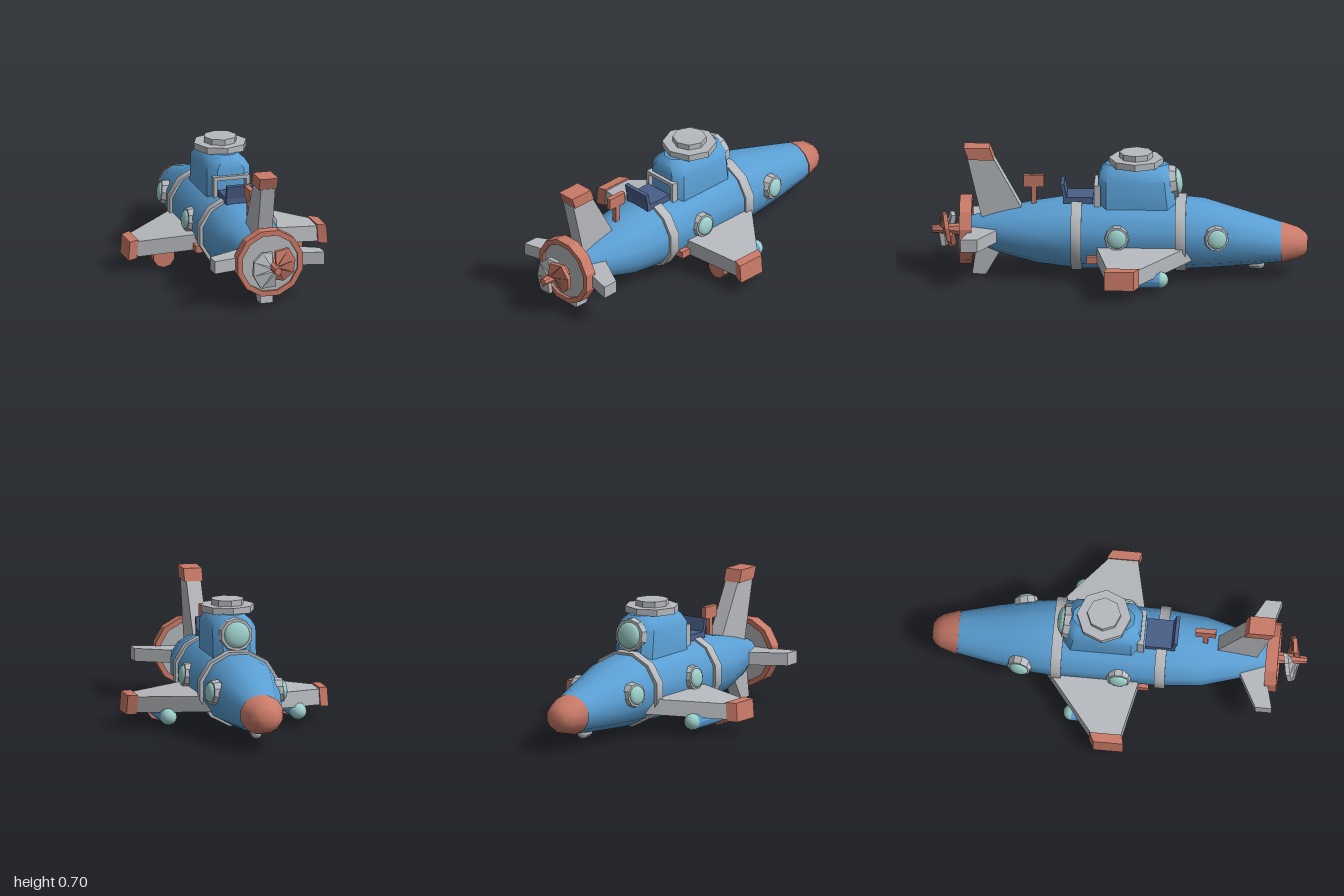
import * as THREE from 'three';
import { toCreasedNormals } from 'three/addons/utils/BufferGeometryUtils.js';

const mat = (name, color, side = THREE.FrontSide) => {
  const m = new THREE.MeshStandardMaterial({ color, side });
  m.name = name;
  return m;
};

// Closed solid through a list of convex rings with equal point counts
function loft(rings, crease = 0.6) {
  const n = rings[0].length, pos = rings.flat(2), idx = [];
  for (let r = 0; r < rings.length - 1; r++)
    for (let i = 0; i < n; i++) {
      const a = r * n + i, b = r * n + (i + 1) % n;
      idx.push(a, b, b + n, a, b + n, a + n);
    }
  const last = (rings.length - 1) * n;
  for (let i = 1; i < n - 1; i++) idx.push(0, i + 1, i, last, last + i, last + i + 1);
  // turn all faces outward by the sign of the enclosed volume
  const v = i => new THREE.Vector3().fromArray(pos, i * 3);
  let vol = 0;
  for (let i = 0; i < idx.length; i += 3) vol += v(idx[i]).dot(v(idx[i + 1]).cross(v(idx[i + 2])));
  if (vol < 0) idx.reverse();
  const g = new THREE.BufferGeometry();
  g.setAttribute('position', new THREE.Float32BufferAttribute(pos, 3));
  g.setIndex(idx);
  return toCreasedNormals(g, crease);
}

// Twelve-sided upright section, flat at top and bottom; rx, ry reach to the flats
const section = (z, cy, rx, ry) => Array.from({ length: 12 }, (_, i) => {
  const a = (i + 0.5) * Math.PI / 6, k = 1 / Math.cos(Math.PI / 12);
  return [rx * k * Math.cos(a), cy + ry * k * Math.sin(a), z];
});

// Rectangle with cut corners at height y
const plan = (y, x, z0, z1, c) => [
  [x, y, z0 + c], [x, y, z1 - c], [x - c, y, z1], [c - x, y, z1],
  [-x, y, z1 - c], [-x, y, z0 + c], [c - x, y, z0], [x - c, y, z0]];

export function createModel() {
  const root = new THREE.Group();
  root.name = 'submarine';
  const blue = mat('hullBlue', 0x5a9fd4), red = mat('coralRed', 0xc97a68);
  const grey = mat('metalGrey', 0xb6b9bd), navy = mat('seatNavy', 0x4a5f88);
  const glass = mat('glassTeal', 0x9dd0cb);

  const add = (name, geo, m, x = 0, y = 0, z = 0, parent = root) => {
    const mesh = new THREE.Mesh(geo, m);
    mesh.name = name;
    mesh.position.set(x, y, z);
    parent.add(mesh);
    return mesh;
  };
  const box = (name, m, x0, x1, y0, y1, z0, z1) => add(name,
    new THREE.BoxGeometry(x1 - x0, y1 - y0, z1 - z0), m, (x0 + x1) / 2, (y0 + y1) / 2, (z0 + z1) / 2);
  const disc = (r0, r1, h, n) => toCreasedNormals(new THREE.CylinderGeometry(r0, r1, h, n), 0.5);

  // Hull, nose and bands
  add('hull', loft([
    section(-0.87, 0.19, 0.108, 0.1), section(-0.65, 0.213, 0.155, 0.143),
    section(-0.45, 0.236, 0.188, 0.18), section(-0.3, 0.24, 0.199, 0.19),
    section(0.22, 0.24, 0.199, 0.19), section(0.45, 0.236, 0.18, 0.159),
    section(0.65, 0.242, 0.125, 0.112), section(0.8, 0.25, 0.07, 0.062)]), blue);
  add('nose', loft([
    section(-0.86, 0.19, 0.117, 0.105), section(-0.95, 0.186, 0.088, 0.08),
    section(-0.985, 0.184, 0.064, 0.057), section(-1, 0.183, 0.04, 0.037)], 0.8), red);
  for (const z of [-0.355, 0.2])
    add('hullBand', loft([section(z, 0.24, 0.214, 0.198), section(z + 0.056, 0.24, 0.214, 0.198)]), grey);

  // Tower with stepped hatch
  add('tower', loft([
    plan(0.36, 0.118, -0.305, 0.115, 0.045), plan(0.55, 0.118, -0.285, 0.115, 0.045),
    plan(0.59, 0.095, -0.272, 0.1, 0.045), plan(0.62, 0.06, -0.25, 0.075, 0.035)], 0.7), blue);
  add('hatchRim', disc(0.145, 0.145, 0.036, 8), grey, 0, 0.634, -0.086);
  add('hatchLid', disc(0.09, 0.09, 0.032, 8), grey, 0, 0.667, -0.086);

  // Doorway frame behind the tower
  for (const s of [-1, 1]) box('doorPost', grey, s * 0.09 - 0.009, s * 0.09 + 0.009, 0.4, 0.52, 0.1, 0.135);
  box('doorLintel', grey, -0.099, 0.099, 0.5, 0.52, 0.1, 0.135);

  // Seat
  box('seat', navy, -0.08, 0.08, 0.415, 0.45, 0.14, 0.3);
  const back = box('seatBack', navy, -0.08, 0.08, 0.425, 0.52, 0.285, 0.305);
  back.rotation.x = 0.2;

  // Portholes: grey rim with a domed pane, axis along local +y
  const porthole = (name, x, y, z, dir, r) => {
    const g = new THREE.Group();
    g.name = name;
    g.position.set(x, y, z);
    g.quaternion.setFromUnitVectors(new THREE.Vector3(0, 1, 0), new THREE.Vector3(...dir).normalize());
    add('rim', disc(r * 0.9, r, 0.04, 10), grey, 0, 0, 0, g);
    const pane = new THREE.SphereGeometry(r * 0.74, 14, 5, 0, Math.PI * 2, 0, Math.PI / 2);
    pane.scale(1, 0.4, 1);
    add('pane', pane, glass, 0, 0.021, 0, g);
    root.add(g);
  };
  porthole('towerWindow', 0, 0.52, -0.285, [0, 0.12, -1], 0.096);

  for (const s of [1, -1]) {
    porthole('midPorthole', s * 0.2, 0.26, 0.01, [s, 0.1, 0], 0.07);
    porthole('forePorthole', s * 0.18, 0.257, -0.52, [s, 0.1, -0.2], 0.07);

    // Swept wing, drooping towards its tip
    const rib = (x, yb, yt, z0, z1, lean = 0) => [
      [s * (x - lean), yb, z0], [s * (x - lean), yb, z1], [s * x, yt, z1], [s * x, yt, z0]];
    add('wing', loft([rib(0.16, 0.127, 0.212, -0.385, 0.125), rib(0.495, 0.09, 0.175, -0.11, 0.05, -0.005)], 0.1), grey);
    add('wingTip', loft([rib(0.495, 0.083, 0.185, -0.118, 0.055, -0.008),
      rib(0.545, 0.078, 0.18, -0.092, 0.067, -0.008)], 0.1), red);
    box('hullRail', red, s * 0.185 - 0.025, s * 0.185 + 0.025, 0.12, 0.16, -0.2, 0.17);

    // Thruster pod below the wing
    add('podBody', disc(0.045, 0.045, 0.25, 12), blue, s * 0.355, 0.082, -0.1).rotation.x = Math.PI / 2;
    const cap = new THREE.SphereGeometry(0.045, 12, 5, 0, Math.PI * 2, 0, Math.PI / 2);
    add('podLens', cap, glass, s * 0.355, 0.082, -0.225).rotation.x = -Math.PI / 2;
    add('podNozzle', disc(0.06, 0.06, 0.052, 10), red, s * 0.355, 0.082, 0.036).rotation.x = Math.PI / 2;

    // Horizontal tail fin
    add('tailPlane', loft([rib(0.04, 0.208, 0.277, 0.6, 0.79), rib(0.12, 0.208, 0.277, 0.65, 0.79),
      rib(0.305, 0.208, 0.277, 0.75, 0.838)], 0.1), grey);
  }

  // Vertical tail fins
  const fin = (y, x, z0, z1) => [[-x, y, z0], [x, y, z0], [x, y, z1], [-x, y, z1]];
  add('rudder', loft([fin(0.3, 0.04, 0.48, 0.73), fin(0.645, 0.04, 0.67, 0.81)], 0.1), grey);
  add('rudderTip', loft([fin(0.642, 0.05, 0.668, 0.805), fin(0.708, 0.05, 0.692, 0.83)], 0.1), red);
  add('lowerFin', loft([fin(0.005, 0.035, 0.71, 0.785), fin(0.18, 0.035, 0.61, 0.76)], 0.1), grey);

  // Deck rudder plate on a post
  box('deckPost', red, -0.012, 0.012, 0.37, 0.49, 0.443, 0.47);
  box('deckPlate', red, -0.013, 0.013, 0.485, 0.55, 0.403, 0.513);

  // Lamp under the nose
  box('lampMount', grey, -0.012, 0.012, 0.06, 0.13, -0.73, -0.69);
  add('lamp', disc(0.03, 0.024, 0.055, 10), grey, 0, 0.068, -0.712).rotation.x = -Math.PI / 2;
  const lampCap = new THREE.SphereGeometry(0.03, 10, 5, 0, Math.PI * 2, 0, Math.PI / 2);
  add('lampDome', lampCap, grey, 0, 0.068, -0.74).rotation.x = -Math.PI / 2;

  // Shroud ring and its plate
  const shape = new THREE.Shape(), hole = new THREE.Path();
  for (let i = 0; i < 12; i++) {
    const a = (i + 0.5) * Math.PI / 6, c = Math.cos(a), d = Math.sin(a);
    shape[i ? 'lineTo' : 'moveTo'](0.186 * c, 0.186 * d);
    hole[i ? 'lineTo' : 'moveTo'](0.157 * c, 0.157 * d);
  }
  shape.holes.push(hole);
  add('shroud', new THREE.ExtrudeGeometry(shape, { depth: 0.065, bevelEnabled: false }), red, 0, 0.244, 0.785);
  const plate = disc(0.157, 0.157, 0.04, 12);
  plate.rotateY(Math.PI / 12);
  add('shroudPlate', plate, grey, 0, 0.244, 0.815).rotation.x = Math.PI / 2;

  // Propeller: hub and two helical half-turn blades
  add('propellerHub', disc(0.02, 0.036, 0.17, 8), red, 0, 0.242, 0.915).rotation.x = Math.PI / 2;
  const blade = (name, m, turn) => {
    const rings = [];
    for (let i = 0; i <= 5; i++) {
      const t = i / 5, a = Math.PI * (0.5 - t) + turn, z = 0.945 - 0.055 * t;
      const r = [0.095, 0.132, 0.122, 0.115, 0.1, 0.075][i];
      const p = (q, dz) => [q * Math.cos(a), 0.242 + q * Math.sin(a), z + dz];
      rings.push([p(0.015, 0.018), p(r, 0.005), p(r, -0.018), p(0.015, -0.01)]);
    }
    add(name, loft(rings, 0.1), m);
  };
  blade('propellerBladeRight', red, 0);
  blade('propellerBladeLeft', grey, Math.PI);

  return root;
}
